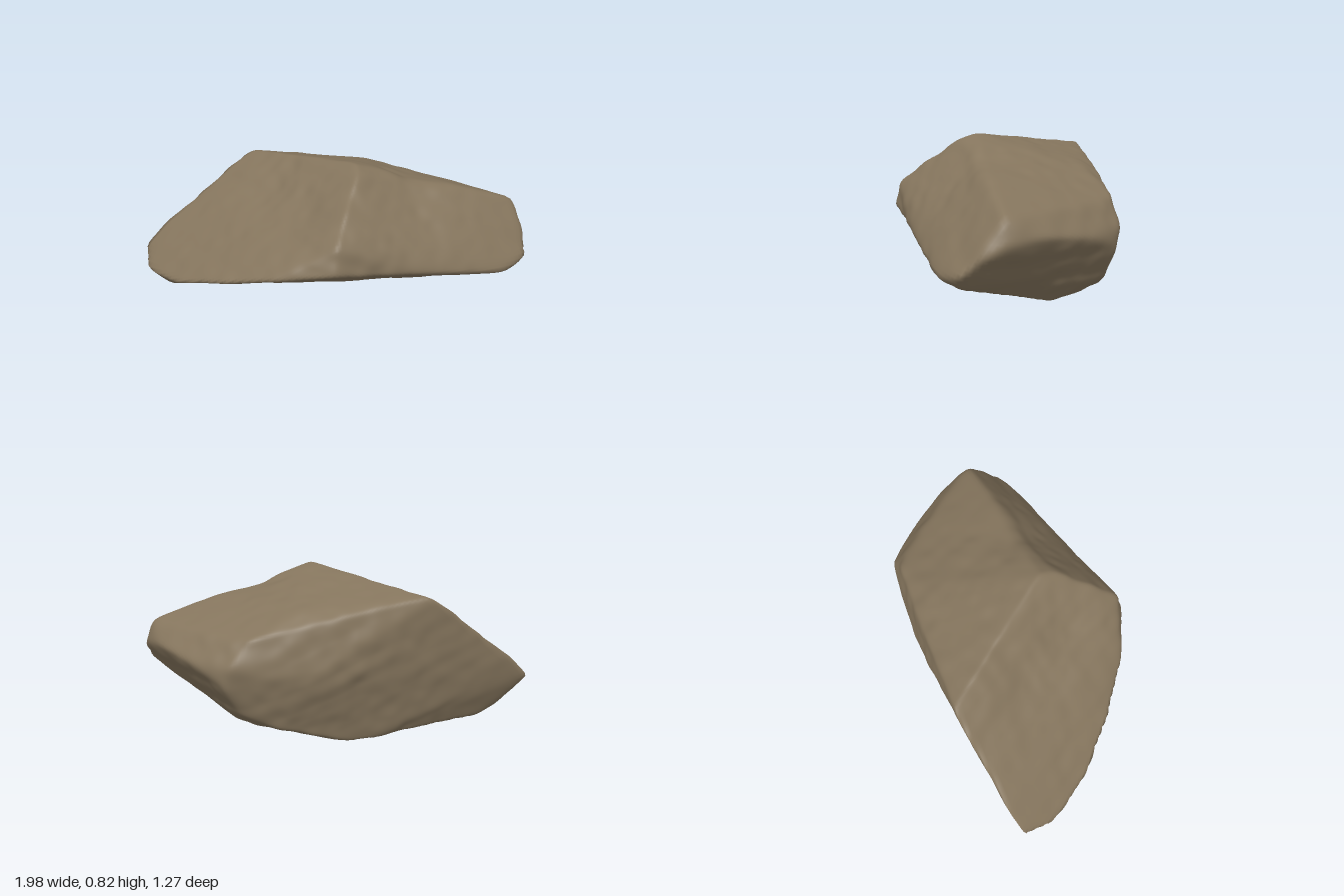
import * as THREE from 'three';
import { mergeVertices } from 'three/addons/utils/BufferGeometryUtils.js';
import { ConvexGeometry } from 'three/addons/geometries/ConvexGeometry.js';

// Corners of the boulder
const CORNERS = [
  [0.17, 0.835, 0.16], [0.2, 0.815, 0.23], [-0.53, 0.74, -0.17], [0.89, 0.58, -0.29], // top slab
  [0.08, 0.675, -0.39], [0.26, 0.57, -0.58], [-0.37, 0.59, -0.27], // slab falling to the back
  [0.33, 0.44, -0.64], [0.18, 0.4, -0.59], [-0.05, 0.4, -0.48], [0.56, 0.44, -0.57], [0.77, 0.47, -0.45], // back rim
  [0.22, 0.57, 0.585], [0.21, 0.66, 0.47], [0.21, 0.44, 0.615], [-0.1, 0.38, 0.64], // front edge
  [-0.4, 0.3, 0.6], [-0.65, 0.23, 0.53], [-0.92, 0.2, 0.38], // front left rim
  [-1.015, 0.25, 0.23], [-0.96, 0.34, 0.17], // left tip
  [1.01, 0.34, -0.15], [0.94, 0.45, -0.31], [0.93, 0.26, -0.11], [0.9, 0.29, 0.02], // right tip
  [0.7, 0.345, 0.2], [0.45, 0.395, 0.38], // right rim
  [0.37, 0.34, -0.635], [0.34, 0.21, -0.57], [0.42, 0.08, -0.34], [0.15, 0.11, -0.5], // lower back
  [-0.18, 0, -0.29], [0.05, 0.015, -0.3], [-0.42, 0.025, -0.08], [-0.76, 0.03, 0.16], // underside
  [-0.84, 0.07, 0.22], [-0.78, 0.13, 0.38],
].map((p) => new THREE.Vector3(...p));
const CENTRE = new THREE.Vector3(0, 0.4, 0);

// Hollows worn into the faces: position, radius, depth
const HOLLOWS = [
  [-0.3, 0.61, 0.14, 0.18, 0.03], [-0.02, 0.6, 0.34, 0.18, 0.035], // front left face
  [0.45, 0.57, 0.14, 0.2, 0.025], [0.42, 0.74, 0, 0.13, 0.02], // right face and its top edge
].map(([x, y, z, radius, depth]) => ({ at: new THREE.Vector3(x, y, z), radius, depth }));

// Facet planes, with near-coplanar triangles merged
function facetPlanes() {
  const pos = new ConvexGeometry(CORNERS.map((p) => p.clone().sub(CENTRE))).attributes.position;
  const planes = [];
  const v = [0, 1, 2].map(() => new THREE.Vector3());
  for (let i = 0; i < pos.count; i += 3) {
    v.forEach((p, k) => p.fromBufferAttribute(pos, i + k));
    const plane = new THREE.Plane().setFromCoplanarPoints(...v);
    const h = -plane.constant;
    if (h < 0.02) continue;
    if (!planes.some((q) => q.n.dot(plane.normal) > 0.9995)) planes.push({ n: plane.normal, h });
  }
  return planes;
}

// Seeded value noise
function hash(x, y, z) {
  const s = Math.sin(x * 127.1 + y * 311.7 + z * 74.7) * 43758.5453;
  return s - Math.floor(s);
}
function noise(x, y, z) {
  const c = [x, y, z].map(Math.floor);
  const f = [x - c[0], y - c[1], z - c[2]].map((t) => t * t * (3 - 2 * t));
  let sum = 0;
  for (let k = 0; k < 8; k++) {
    const b = [k & 1, (k >> 1) & 1, k >> 2];
    const w = b.reduce((a, bit, i) => a * (bit ? f[i] : 1 - f[i]), 1);
    sum += w * hash(c[0] + b[0], c[1] + b[1], c[2] + b[2]);
  }
  return sum * 2 - 1;
}

// Rounded facets with hollows, layered strata and fine chips
function boulderGeometry() {
  let geo = new THREE.IcosahedronGeometry(1, 55);
  geo.deleteAttribute('uv');
  geo.deleteAttribute('normal');
  geo = mergeVertices(geo, 1e-5);
  const planes = facetPlanes();
  const pos = geo.attributes.position;
  const d = new THREE.Vector3();
  const p = new THREE.Vector3();
  const power = 90;
  for (let i = 0; i < pos.count; i++) {
    d.fromBufferAttribute(pos, i).normalize();
    let sum = 0;
    for (const { n, h } of planes) sum += Math.max(0, n.dot(d) / h) ** power;
    const reach = sum ** (-1 / power);
    p.copy(d).multiplyScalar(reach);
    const layer = p.x * 0.25 + p.y - p.z * 0.4;
    let bump = 0.007 * noise(p.x * 2, layer * 14, p.z * 2)
      + 0.005 * noise(p.x * 14, p.y * 14, p.z * 14);
    p.add(CENTRE);
    for (const { at, radius, depth } of HOLLOWS) {
      bump -= depth * Math.exp(-p.distanceToSquared(at) / radius ** 2);
    }
    p.addScaledVector(d, bump);
    pos.setXYZ(i, p.x, Math.max(0, p.y), p.z);
  }
  geo.computeVertexNormals();
  return geo;
}

export function createModel() {
  const stone = new THREE.MeshStandardMaterial({ color: 0x85755d });
  stone.name = 'brown stone';
  const boulder = new THREE.Mesh(boulderGeometry(), stone);
  boulder.name = 'boulder';
  const group = new THREE.Group();
  group.name = 'rock';
  group.add(boulder);
  return group;
}
